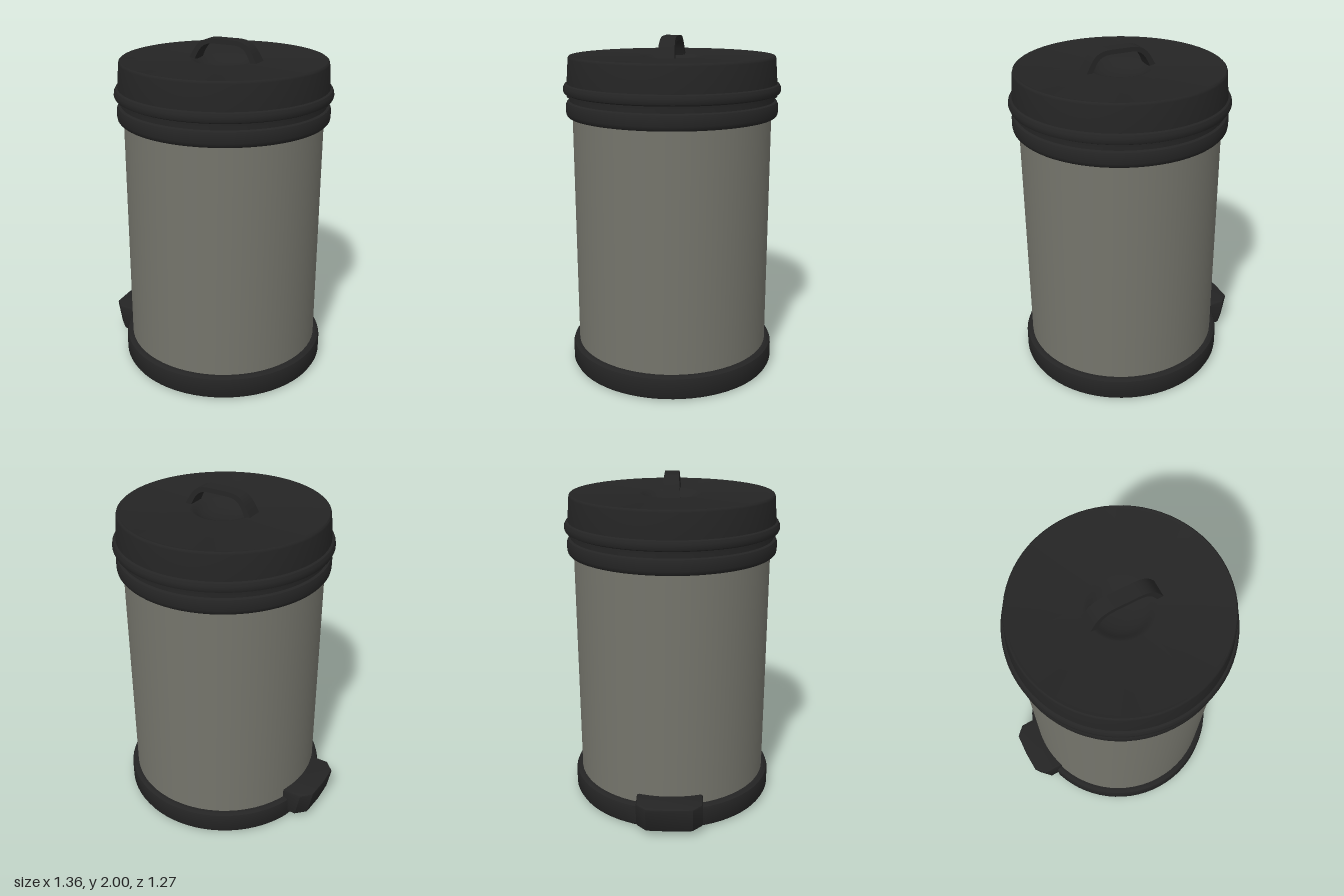
import * as THREE from 'three';
import { toCreasedNormals } from 'three/addons/utils/BufferGeometryUtils.js';

const CENTRE_X = 0.047;

// Apply a rule to every vertex
function reshape(geometry, rule) {
  const p = geometry.attributes.position;
  const v = new THREE.Vector3();
  for (let i = 0; i < p.count; i++) {
    v.fromBufferAttribute(p, i);
    rule(v);
    p.setXYZ(i, v.x, v.y, v.z);
  }
  return geometry;
}

export function createModel() {
  const group = new THREE.Group();
  group.name = 'pedalBin';
  const plastic = new THREE.MeshStandardMaterial({ color: 0x242424 });
  plastic.name = 'black plastic';
  const steel = new THREE.MeshStandardMaterial({ color: 0x74746b });
  steel.name = 'grey steel';

  function add(name, geometry, material, x = CENTRE_X) {
    const mesh = new THREE.Mesh(toCreasedNormals(geometry, 0.6), material);
    mesh.name = name;
    mesh.position.x = x;
    group.add(mesh);
  }
  // Profile of [radius, height] points, from bottom to top
  const turned = (points) =>
    new THREE.LatheGeometry(points.map(([r, y]) => new THREE.Vector2(r, y)), 72);

  // Steel drum
  add('body', new THREE.CylinderGeometry(0.583, 0.583, 1.47, 64, 1, true).translate(0, 0.84, 0), steel);

  // Base ring with closed underside, flattened behind the pedal
  const base = turned([
    [0, 0.005], [0.595, 0.005], [0.612, 0.013], [0.621, 0.03],
    [0.621, 0.12], [0.615, 0.138], [0.598, 0.15], [0.57, 0.15],
  ]);
  add('base', reshape(base, (v) => { v.x = Math.max(v.x, -0.588); }), plastic);

  // Collar below the lid
  add('collar', turned([
    [0.575, 1.545], [0.608, 1.545], [0.617, 1.555], [0.62, 1.57],
    [0.62, 1.612], [0.612, 1.63], [0.598, 1.636], [0.596, 1.67],
  ]), plastic);

  // Lid with flared rim and a shallow dish under the handle
  add('lid', turned([
    [0.59, 1.66], [0.615, 1.663], [0.615, 1.675], [0.629, 1.682], [0.634, 1.695],
    [0.632, 1.715], [0.624, 1.73], [0.612, 1.735], [0.601, 1.875], [0.598, 1.885],
    [0.592, 1.89], [0.583, 1.888], [0.575, 1.885], [0.19, 1.885], [0.172, 1.88],
    [0.155, 1.865], [0.12, 1.848], [0.07, 1.838], [0, 1.835],
  ]), plastic);

  // Arched strap handle, wider at its feet
  const arch = new THREE.Shape();
  arch.moveTo(-0.22, 1.87);
  arch.lineTo(-0.207, 1.892);
  arch.bezierCurveTo(-0.17, 1.96, -0.15, 2.0, -0.06, 2.0);
  arch.lineTo(0.06, 2.0);
  arch.bezierCurveTo(0.15, 2.0, 0.17, 1.96, 0.207, 1.892);
  arch.lineTo(0.22, 1.87);
  arch.lineTo(0.18, 1.87);
  arch.bezierCurveTo(0.15, 1.94, 0.13, 1.974, 0.06, 1.974);
  arch.lineTo(-0.06, 1.974);
  arch.bezierCurveTo(-0.13, 1.974, -0.15, 1.94, -0.18, 1.87);
  arch.closePath();
  const strap = new THREE.ExtrudeGeometry(arch, { depth: 0.084, bevelEnabled: false, curveSegments: 10 });
  strap.translate(0, 0, -0.042);
  add('handle', reshape(strap, (v) => { v.z *= 1 + (2 - v.y) * 1.7; }), plastic, 0.06);

  // Foot pedal: chamfered plan, leaning outwards towards the top
  const plan = new THREE.Shape([
    [-0.5, -0.18], [-0.61, -0.18], [-0.66, -0.13], [-0.666, 0],
    [-0.66, 0.13], [-0.61, 0.18], [-0.5, 0.18],
  ].map(([x, z]) => new THREE.Vector2(x, z)));
  const pedal = new THREE.ExtrudeGeometry(plan, {
    depth: 0.136, bevelThickness: 0.015, bevelSize: 0.015, bevelSegments: 2,
  });
  pedal.rotateX(-Math.PI / 2).translate(0, 0.055, 0);
  add('pedal', reshape(pedal, (v) => { v.x += (0.18 - v.y) * 0.2; }), plastic, 0);

  return group;
}
